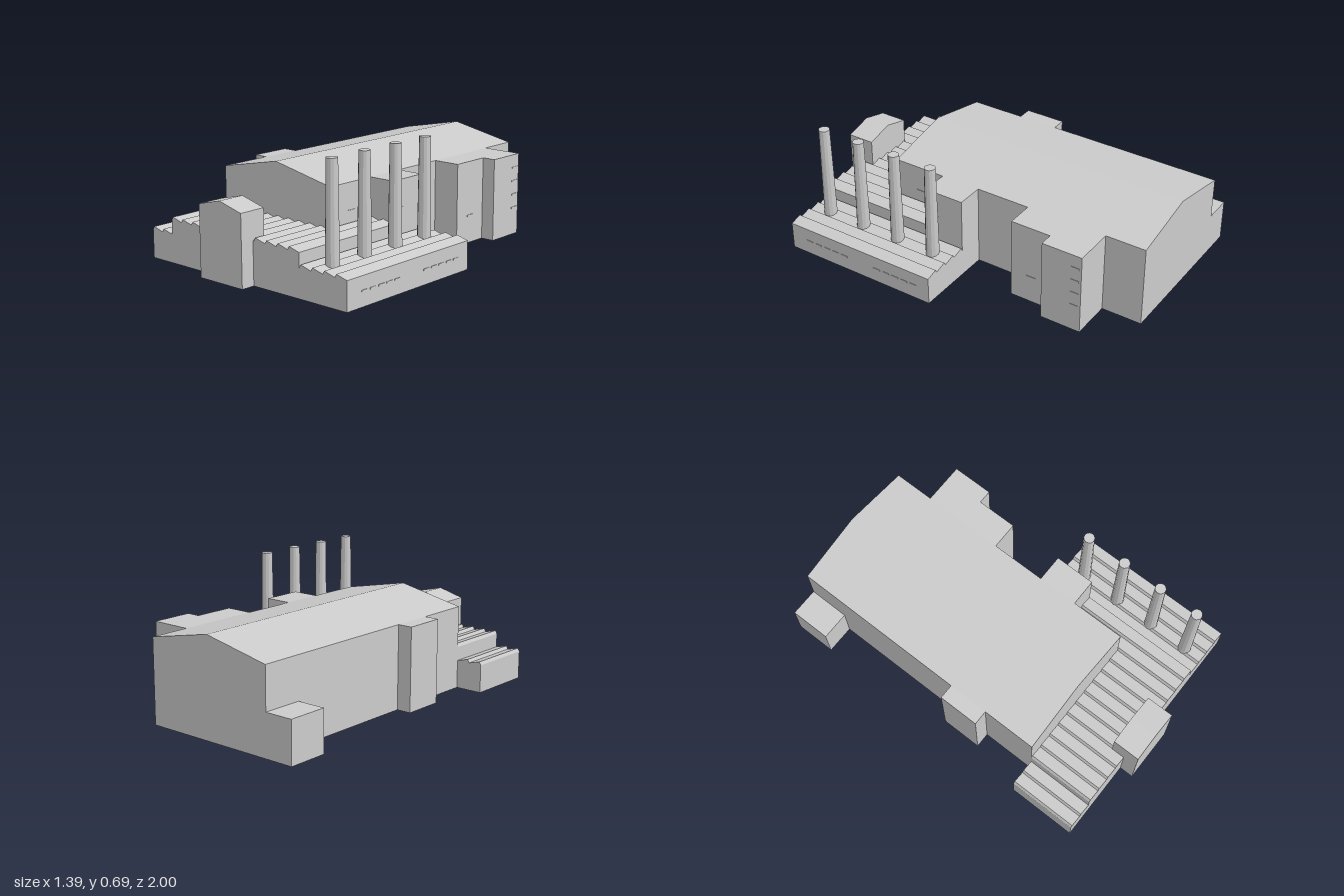
import * as THREE from 'three';

const material = new THREE.MeshStandardMaterial({ color: 0xcccccc, flatShading: true, side: THREE.DoubleSide });
const TOOTH = 0.0768;

// Hollow prism along z with no floor; walls on the listed seams are left out
function shell(name, profile, z0, z1, seams = []) {
  const shape = new THREE.Shape(profile.map(([x, y]) => new THREE.Vector2(x, y)));
  const solid = new THREE.ExtrudeGeometry(shape, { depth: z1 - z0, bevelEnabled: false });
  solid.translate(0, 0, z0);
  const p = solid.attributes.position;
  const open = [['Y', 0], ...seams];
  const kept = [];
  for (let i = 0; i < p.count; i += 3) {
    const dropped = open.some(([axis, value]) =>
      [0, 1, 2].every((k) => Math.abs(p['get' + axis](i + k) - value) < 1e-4));
    if (!dropped) for (let k = 0; k < 3; k++) kept.push(p.getX(i + k), p.getY(i + k), p.getZ(i + k));
  }
  const geometry = new THREE.BufferGeometry();
  geometry.setAttribute('position', new THREE.Float32BufferAttribute(kept, 3));
  geometry.computeVertexNormals();
  const mesh = new THREE.Mesh(geometry, material);
  mesh.name = name;
  return mesh;
}

const block = (name, x0, x1, h, z0, z1) =>
  shell(name, [[x0, 0], [x1, 0], [x1, h], [x0, h]], z0, z1);

const gabled = (name, x0, x1, eaves, ridge, z0, z1) =>
  shell(name, [[x0, 0], [x1, 0], [x1, eaves], [(x0 + x1) / 2, ridge], [x0, eaves]], z0, z1);

// Sawtooth roof profile: each run is [first x, number of teeth, valley height]
function sawtooth(runs) {
  const top = [];
  for (const [x, count, y] of runs) {
    for (let i = 0; i < count; i++) {
      const left = x + i * TOOTH;
      top.push([left, y], [left + 0.01, y + 0.018]);
    }
    top.push([x + count * TOOTH, y]);
  }
  const x0 = top[0][0], x1 = top[top.length - 1][0];
  return [[x0, 0], [x1, 0], ...top.reverse()];
}

export function createModel() {
  const factory = new THREE.Group();
  factory.name = 'factory';
  const low = 0.155, high = 0.232;
  const xs = (n) => -0.691 + n * TOOTH; // tooth grid line

  // Main hall and the blocks along its sides
  factory.add(
    gabled('mainHall', xs(2), xs(12), 0.46, 0.538, -1, 0.537),
    block('leftBackAnnex', -0.697, xs(2), 0.23, -1, -0.772),
    block('leftTower', -0.62, xs(2), 0.46, 0, 0.23),
    block('rightFrontTower', xs(12), xs(14), 0.46, 0, 0.23),
    block('rightMiddleTower', xs(12), xs(14), 0.46, -0.54, -0.31),
    block('rightBackTower', xs(12), xs(15), 0.46, -0.772, -0.54),
    gabled('entranceBlock', -0.232, 0.07, 0.385, 0.423, 0.845, 1)
  );

  // Sawtooth workshops in front and on the right
  factory.add(
    shell('frontWorkshop', sawtooth([[xs(0), 2, low], [xs(2), 10, high]]), 0.537, 0.922, [['X', xs(12)]]),
    shell('cornerWorkshop', sawtooth([[xs(12), 2, high], [xs(14), 4, low]]), 0.23, 0.922,
      [['X', xs(12)], ['Z', 0.23]]),
    shell('rightWorkshop', sawtooth([[xs(14), 4, low]]), 0, 0.23, [['X', xs(14)], ['Z', 0.23]])
  );

  // Row of tapered chimneys
  for (const z of [0.113, 0.345, 0.577, 0.808]) {
    const chimney = new THREE.Mesh(new THREE.CylinderGeometry(0.03, 0.037, 0.54, 12), material);
    chimney.name = 'chimney';
    chimney.position.set(0.495, 0.422, z);
    factory.add(chimney);
  }

  // Narrow slit windows on the right-hand walls
  const addWindow = (x, y, z, length) => {
    const slit = new THREE.Mesh(new THREE.BoxGeometry(0.006, 0.009, length), material);
    slit.name = 'slitWindow';
    slit.position.set(x, y, z);
    factory.add(slit);
  };
  for (const start of [0.1, 0.56]) {
    for (let i = 0; i < 5; i++) addWindow(xs(18), 0.08, start + i * 0.06, 0.042);
  }
  for (let i = 0; i < 4; i++) addWindow(xs(15), 0.155 + i * 0.077, -0.735, 0.05);
  addWindow(xs(14), 0.155, -0.43, 0.06);
  addWindow(xs(14), 0.31, 0.18, 0.06);
  addWindow(xs(12), 0.31, 0.38, 0.06);

  return factory;
}
